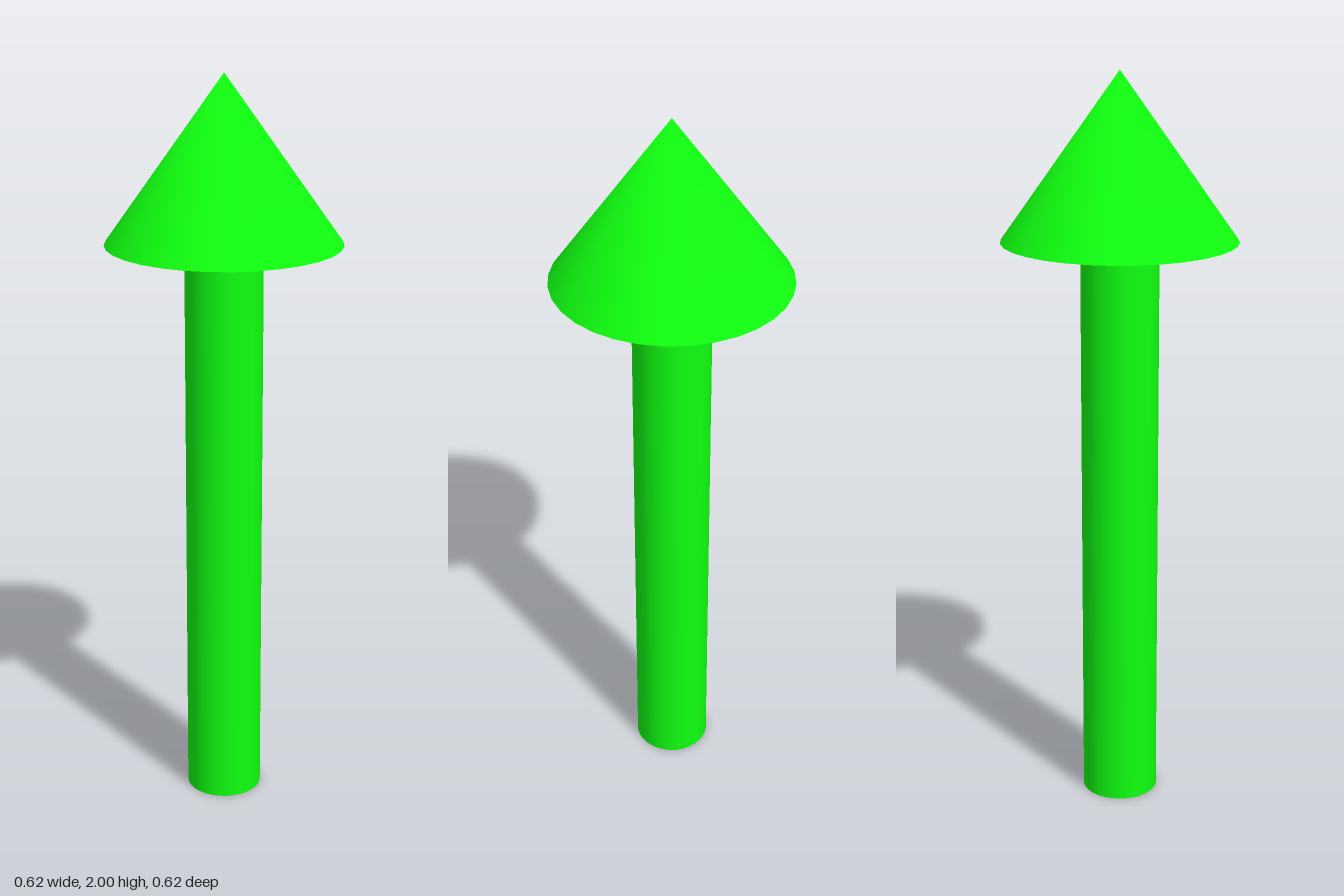
import * as THREE from 'three';

const SIDES = 32;
const HEIGHT = 2;
const HEAD_BASE = 1.565;
const HEAD_RADIUS = 0.31;
const SHAFT_RADIUS = 0.103;

export function createModel() {
  const group = new THREE.Group();
  group.name = 'upArrow';
  const green = new THREE.MeshStandardMaterial({ color: 0x10ff10 });

  // Straight round shaft standing on the ground
  const shaft = new THREE.Mesh(
    new THREE.CylinderGeometry(SHAFT_RADIUS, SHAFT_RADIUS, HEAD_BASE, SIDES), green);
  shaft.name = 'shaft';
  shaft.position.y = HEAD_BASE / 2;
  group.add(shaft);

  // Cone head, shaded smoothly over the tip
  const headHeight = HEIGHT - HEAD_BASE;
  const cone = new THREE.ConeGeometry(HEAD_RADIUS, headHeight, SIDES);
  const { position, normal } = cone.attributes;
  for (let i = 0; i < position.count; i++) {
    if (position.getY(i) > headHeight / 2 - 1e-4) normal.setXYZ(i, 0, 1, 0);
  }
  const head = new THREE.Mesh(cone, green);
  head.name = 'arrowHead';
  head.position.y = HEAD_BASE + headHeight / 2;
  group.add(head);

  return group;
}
